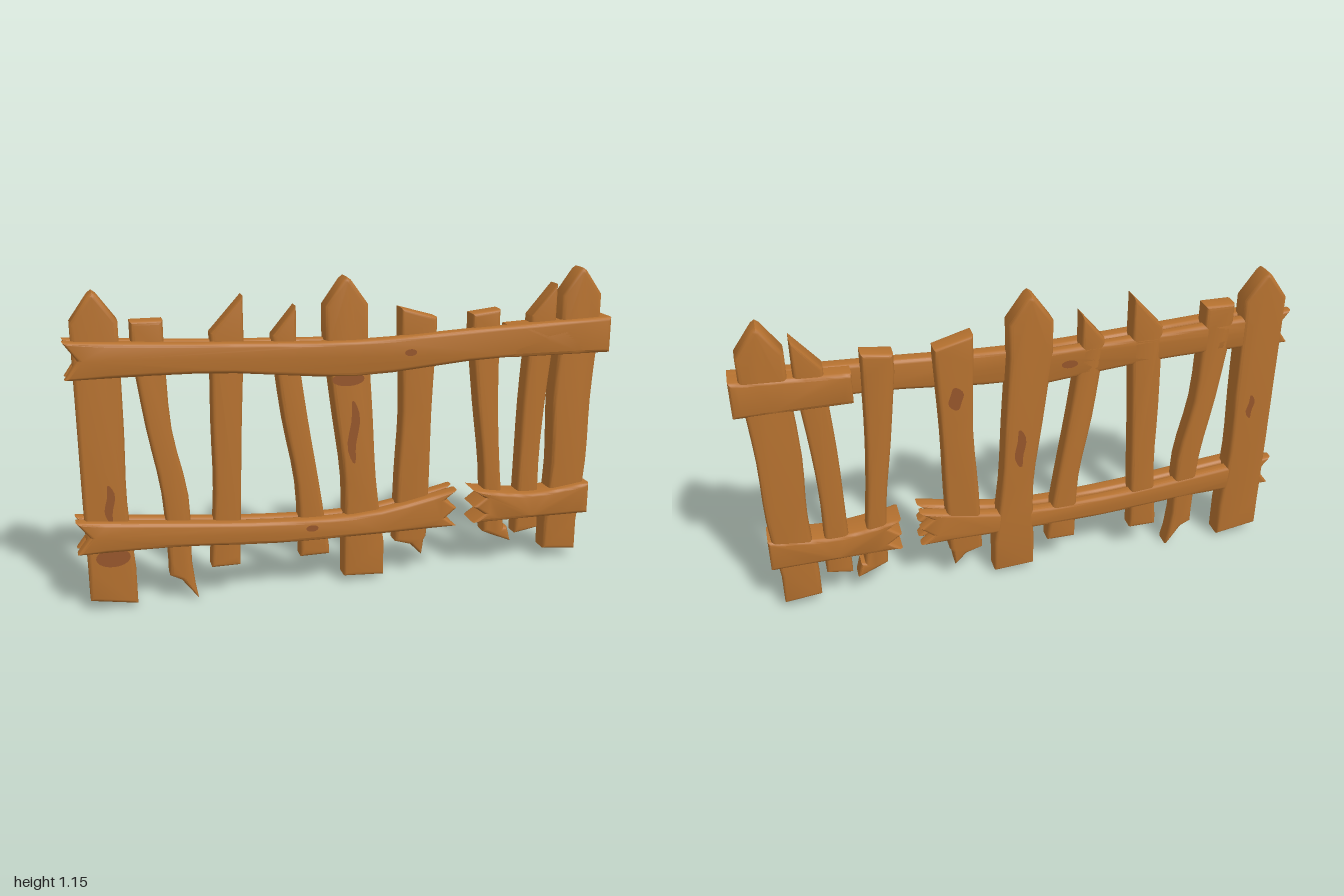
import * as THREE from 'three';
import { toCreasedNormals } from 'three/addons/utils/BufferGeometryUtils.js';

const wood = new THREE.MeshStandardMaterial({ color: 0xb5712f });
wood.name = 'wood';
const darkWood = new THREE.MeshStandardMaterial({ color: 0x96562b });
darkWood.name = 'dark wood';

// Board cut from a front outline, with rounded edges, between two depths
function board(name, outline, zBack, zFront) {
  const bevel = 0.014;
  const geometry = new THREE.ExtrudeGeometry(new THREE.Shape(outline), {
    depth: zFront - zBack - 2 * bevel,
    bevelSize: bevel, bevelThickness: bevel, bevelOffset: -bevel, bevelSegments: 3,
  });
  geometry.translate(0, 0, zBack + bevel);
  const mesh = new THREE.Mesh(toCreasedNormals(geometry, 0.75), wood);
  mesh.name = name;
  return mesh;
}

// Picket ends as [across (-1 left, 1 right), height], listed left to right
const cut = (left, right) => [[-1, left], [1, right]];
const spear = (y) => [[-1, y - 0.1], [-0.18, y - 0.01], [0, y], [0.18, y - 0.01], [1, y - 0.1]];
const splinter = (across, y) => [
  [-1, Math.min(0.14, y + 0.1)], [0, Math.min(0.12, y + 0.08)],
  [across, y], [0.5 + across / 2, y + 0.06],
];

// Upright board: centres and widths at four heights, plus the two ends
function picket(name, centres, widths, bottom, top, zBack = -0.053, zFront = 0.022) {
  const heights = [0.15, 0.4, 0.65, 0.93];
  const spine = new THREE.CatmullRomCurve3(
    heights.map((y, i) => new THREE.Vector3(centres[i], y, widths[i]))).getPoints(9);
  const end = (points, k) => points.map(([u, y]) =>
    new THREE.Vector2(centres[k] + u * widths[k] / 2, y));
  const edge = (side) => spine.map((p) => new THREE.Vector2(p.x + side * p.z / 2, p.y));
  const outline = [...end(bottom, 0), ...edge(1), ...end(top, 3).reverse(), ...edge(-1).reverse()];
  return board(name, outline, zBack, zFront);
}

// Horizontal board: evenly spaced centre heights and widths; ends split into prongs
function rail(name, [x0, x1], centres, widths, [prongsLeft, prongsRight], zBack, zFront) {
  const last = centres.length - 1;
  const spine = new THREE.CatmullRomCurve3(centres.map((y, i) =>
    new THREE.Vector3(x0 + (x1 - x0) * i / last, y, widths[i]))).getPoints(14);
  const end = (prongs, p, inward) => {
    const steps = Math.max(1, 2 * prongs - 2);
    return Array.from({ length: steps + 1 }, (_, i) => new THREE.Vector2(
      p.x + (prongs > 1 && i % 2 ? inward : 0), p.y + (i / steps - 0.5) * p.z));
  };
  const edge = (side) => spine.slice(1, -1).map((p) => new THREE.Vector2(p.x, p.y + side * p.z / 2));
  const outline = [
    ...edge(-1), ...end(prongsRight, spine.at(-1), -0.045),
    ...edge(1).reverse(), ...end(prongsLeft, spine[0], 0.045).reverse(),
  ];
  return board(name, outline, zBack, zFront);
}

// Wavy dark grain mark lying on a board face
function knot(x, y, z, width, height, bend = 0) {
  const geometry = new THREE.CircleGeometry(0.5, 20);
  const p = geometry.attributes.position;
  for (let i = 0; i < p.count; i++) {
    const v = p.getY(i);
    p.setXY(i, p.getX(i) * width + Math.sin(v * 7) * bend, v * height);
  }
  const mesh = new THREE.Mesh(geometry, darkWood);
  mesh.position.set(x, y, z);
  if (z < 0) mesh.rotation.y = Math.PI;
  mesh.name = 'woodKnot';
  return mesh;
}

export function createModel() {
  const model = new THREE.Group();
  model.name = 'brokenFence';

  // Three thick posts with pointed tops
  model.add(
    picket('rightPost', [-0.885, -0.895, -0.893, -0.893], [0.165, 0.15, 0.155, 0.157],
      cut(0.04, 0.012), spear(1.14), -0.056, 0.03),
    picket('middlePost', [0.043, 0.028, 0.005, -0.022], [0.155, 0.122, 0.14, 0.157],
      cut(0.025, 0.015), spear(1.155), -0.056, 0.03),
    picket('leftPost', [0.85, 0.872, 0.87, 0.888], [0.137, 0.145, 0.155, 0.157],
      cut(0.045, 0.03), spear(1.152), -0.056, 0.03),
  );

  // Thinner crooked pickets
  model.add(
    picket('picket1', [-0.643, -0.65, -0.695, -0.72], [0.08, 0.09, 0.085, 0.11],
      splinter(1.5, 0), cut(1.035, 1.035)),
    picket('picket2', [-0.478, -0.463, -0.458, -0.448], [0.105, 0.095, 0.105, 0.115],
      cut(0.115, 0.115), cut(0.98, 1.105)),
    picket('picket3', [-0.145, -0.168, -0.21, -0.247], [0.11, 0.083, 0.088, 0.085],
      cut(0.12, 0.12), cut(0.96, 1.06)),
    picket('picket4', [0.23, 0.238, 0.247, 0.25], [0.125, 0.125, 0.115, 0.137],
      splinter(0.7, 0.075), cut(1.035, 0.995)),
    picket('picket5', [0.57, 0.552, 0.528, 0.51], [0.085, 0.07, 0.085, 0.11],
      splinter(1.7, 0.09), cut(1, 1.012)),
    picket('picket6', [0.707, 0.707, 0.717, 0.74], [0.095, 0.083, 0.09, 0.1],
      cut(0.12, 0.135), cut(0.98, 1.095)),
  );

  // Front and back rails, snapped where the lower one is broken
  const topY = [0.918, 0.9, 0.868, 0.893, 0.9];
  const topWidth = [0.13, 0.105, 0.128, 0.115, 0.135];
  const lowY = [0.29, 0.268, 0.24, 0.235, 0.265];
  const lowWidth = [0.12, 0.09, 0.083, 0.085, 0.145];
  model.add(
    rail('topRail', [-1, 1], topY, topWidth, [2, 1], 0, 0.058),
    rail('topRailBack', [-1, 0], topY.slice(0, 3), topWidth.slice(0, 3), [2, 1], -0.053, -0.008),
    rail('topRailEnd', [0.6, 1], topY.slice(3), topWidth.slice(3), [1, 1], -0.059, 0.058),
    rail('lowerRail', [-1, 0.4], lowY, lowWidth, [2, 3], 0, 0.058),
    rail('lowerRailBack', [-1, 0.4], lowY, lowWidth, [2, 3], -0.055, -0.008),
    rail('lowerRailEnd', [0.47, 0.95], [0.26, 0.243, 0.252], [0.13, 0.1, 0.125], [3, 1], -0.059, 0.058),
  );

  // Grain marks on the front, then on the back
  model.add(
    knot(0, 0.59, 0.031, 0.035, 0.24, 0.008),
    knot(-0.02, 0.79, 0.031, 0.12, 0.05),
    knot(-0.88, 0.4, 0.031, 0.03, 0.14, 0.006),
    knot(-0.88, 0.2, 0.031, 0.12, 0.07),
    knot(0.205, 0.88, 0.059, 0.045, 0.025),
    knot(-0.165, 0.245, 0.059, 0.045, 0.025),
    knot(0.02, 0.56, -0.057, 0.035, 0.16, 0.006),
    knot(-0.88, 0.6, -0.057, 0.025, 0.1, 0.005),
    knot(-0.16, 0.88, -0.0545, 0.06, 0.03),
    knot(0.25, 0.8, -0.054, 0.05, 0.09, 0.005),
  );
  return model;
}
